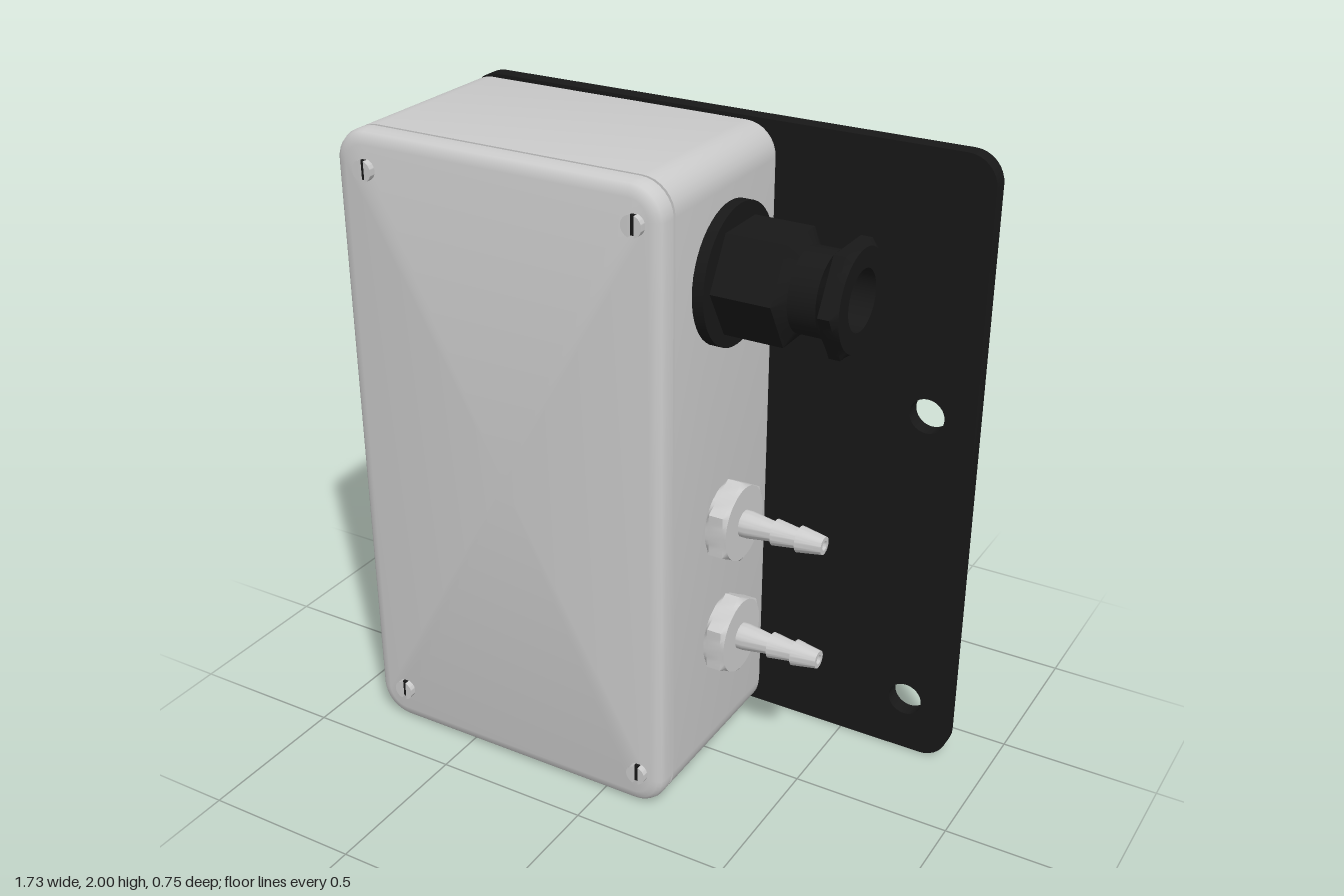
import * as THREE from 'three';
import { toCreasedNormals } from 'three/addons/utils/BufferGeometryUtils.js';

const grey = new THREE.MeshStandardMaterial({ color: 0xcccccc });
const black = new THREE.MeshStandardMaterial({ color: 0x181818 });

const X0 = -0.865, X1 = 0.21, PORT_Z = -0.02;

function part(name, geometry, material, parent) {
  const mesh = new THREE.Mesh(geometry, material);
  mesh.name = name;
  parent.add(mesh);
  return mesh;
}

// Points of a rounded rectangle, counter-clockwise
function roundedRect(x0, y0, x1, y1, r, steps = 8) {
  const pts = [];
  const corners = [[x1 - r, y1 - r], [x0 + r, y1 - r], [x0 + r, y0 + r], [x1 - r, y0 + r]];
  corners.forEach(([cx, cy], k) => {
    for (let i = 0; i <= steps; i++) {
      const a = (k + i / steps) * Math.PI / 2;
      pts.push(new THREE.Vector2(cx + r * Math.cos(a), cy + r * Math.sin(a)));
    }
  });
  return pts;
}

// Case section lofted through [z, inset] layers, capped at both ends
function caseLoft(layers) {
  const pos = [], idx = [];
  let n = 0;
  for (const [z, d] of layers) {
    const ring = roundedRect(X0 + d, d, X1 - d, 2 - d, 0.1 - d);
    n = ring.length;
    ring.forEach(p => pos.push(p.x, p.y, z));
  }
  const last = (layers.length - 1) * n, back = layers.length * n, front = back + 1;
  const cx = (X0 + X1) / 2;
  pos.push(cx, 1, layers[0][0], cx, 1, layers[layers.length - 1][0]);
  for (let i = 0; i < n; i++) {
    const j = (i + 1) % n;
    for (let o = 0; o < last; o += n) {
      idx.push(o + i, o + j, o + n + j, o + i, o + n + j, o + n + i);
    }
    idx.push(back, j, i, front, last + i, last + j);
  }
  const g = new THREE.BufferGeometry();
  g.setAttribute('position', new THREE.Float32BufferAttribute(pos, 3));
  g.setIndex(idx);
  return toCreasedNormals(g, 0.6);
}

// Turned part along +x from [x, radius] pairs; an apothem trims it to a hexagon
function turned(profile, apothem = 0, turn = 0) {
  const g = new THREE.LatheGeometry(profile.map(([x, r]) => new THREE.Vector2(r, x)), 48);
  if (apothem) {
    const p = g.attributes.position;
    for (let i = 0; i < p.count; i++) {
      const x = p.getX(i), z = p.getZ(i), r = Math.hypot(x, z);
      const a = Math.atan2(x, z) + Math.PI * 2 + 1e-6;
      const limit = apothem / Math.cos(a % (Math.PI / 3) - Math.PI / 6);
      if (r > limit) {
        p.setX(i, x * limit / r);
        p.setZ(i, z * limit / r);
      }
    }
  }
  g.rotateY(turn);
  g.rotateZ(-Math.PI / 2);
  return toCreasedNormals(g, 0.5);
}

// Extruded outline placed from z upwards
function slab(shape, z, depth) {
  const g = new THREE.ExtrudeGeometry(shape, { depth, bevelEnabled: false, curveSegments: 24 });
  g.translate(0, 0, z);
  return toCreasedNormals(g, 0.5);
}

function circleHole(x, y, r) {
  return new THREE.Path().absarc(x, y, r, 0, Math.PI * 2, true);
}

export function createModel() {
  const model = new THREE.Group();
  const backScrews = [];
  for (const x of [-0.635, -0.008]) for (const y of [0.29, 1.22, 1.674]) backScrews.push([x, y]);

  // Mounting plate with two fixing holes and countersunk screw seats
  const plate = new THREE.Shape(roundedRect(-0.865, 0, 0.865, 2, 0.09));
  for (const y of [0.185, 1.19]) plate.holes.push(circleHole(0.715, y, 0.055));
  for (const [x, y] of backScrews) plate.holes.push(circleHole(x, y, 0.058));
  part('mountingPlate', slab(plate, -0.375, 0.052), black, model);

  // Flush cross-slotted screws in the plate
  const quarter = new THREE.Shape();
  const s = 0.008, r = 0.057, a0 = Math.asin(s / r);
  quarter.moveTo(s, s);
  quarter.absarc(0, 0, r, a0, Math.PI / 2 - a0, false);
  quarter.closePath();
  const quarterGeo = slab(quarter, 0, 0.02);
  const baseGeo = new THREE.CylinderGeometry(0.058, 0.058, 0.02, 24).rotateX(Math.PI / 2);
  for (const [x, y] of backScrews) {
    const screw = new THREE.Group();
    screw.name = 'plateScrew';
    screw.position.set(x, y, -0.375);
    for (let k = 0; k < 4; k++) {
      part('screwHeadQuarter', quarterGeo, grey, screw).rotation.z = k * Math.PI / 2;
    }
    part('screwHeadBase', baseGeo, grey, screw).position.z = 0.03;
    model.add(screw);
  }

  // Case body, sealing groove and lid
  part('caseBody', caseLoft([[-0.325, 0.035], [-0.318, 0.018], [-0.305, 0.006], [-0.288, 0], [0.28, 0]]), grey, model);
  part('sealingGroove', caseLoft([[0.275, 0.012], [0.295, 0.012]]), grey, model);
  part('lid', caseLoft([[0.29, 0], [0.325, 0], [0.34, 0.006], [0.35, 0.018], [0.355, 0.04]]), grey, model);

  // Slotted lid screws
  const half = new THREE.Shape();
  const t = Math.acos(0.009 / 0.032);
  half.absarc(0, 0, 0.032, -t, t, false);
  half.closePath();
  const halfGeo = slab(half, 0, 0.02);
  const slotGeo = new THREE.BoxGeometry(0.018, 0.058, 0.008);
  for (const x of [-0.755, 0.13]) {
    for (const y of [0.12, 1.89]) {
      const screw = new THREE.Group();
      screw.name = 'lidScrew';
      screw.position.set(x, y, 0.355);
      part('screwHalf', halfGeo, grey, screw);
      part('screwHalf', halfGeo, grey, screw).rotation.z = Math.PI;
      part('screwSlot', slotGeo, black, screw).position.z = 0.004;
      model.add(screw);
    }
  }

  // Cable gland: round flange, hexagonal body, round waist, hexagonal cap
  const gland = new THREE.Group();
  gland.name = 'cableGland';
  gland.position.set(X1, 1.645, PORT_Z);
  part('glandFlange', turned([[0, 0.21], [0.035, 0.21], [0.035, 0.09], [0, 0.09]]), black, gland);
  part('glandBody', turned([
    [0.03, 0.174], [0.22, 0.174], [0.245, 0.125], [0.33, 0.125], [0.358, 0.174],
    [0.393, 0.174], [0.41, 0.15], [0.41, 0.09], [0, 0.09],
  ], 0.15), black, gland);
  part('glandSeal', turned([[0, 0.09], [0.015, 0.09], [0.015, 0.05], [0, 0.05]]), grey, gland);
  model.add(gland);

  // Hose connectors: chamfered hexagonal nut and barbed spigot
  const nutGeo = turned([[0, 0], [0, 0.118], [0.012, 0.136], [0.058, 0.136], [0.07, 0.118], [0.07, 0]], 0.117, Math.PI / 6);
  const barbGeo = turned([
    [0.065, 0.042], [0.09, 0.042], [0.175, 0.03], [0.175, 0.041], [0.255, 0.03],
    [0.255, 0.041], [0.335, 0.028], [0.335, 0.015], [0.08, 0.015], [0.08, 0],
  ]);
  for (const y of [0.455, 0.855]) {
    const hose = new THREE.Group();
    hose.name = 'hoseConnector';
    hose.position.set(X1, y, PORT_Z);
    part('connectorNut', nutGeo, grey, hose);
    part('barbedSpigot', barbGeo, grey, hose);
    model.add(hose);
  }

  return model;
}
